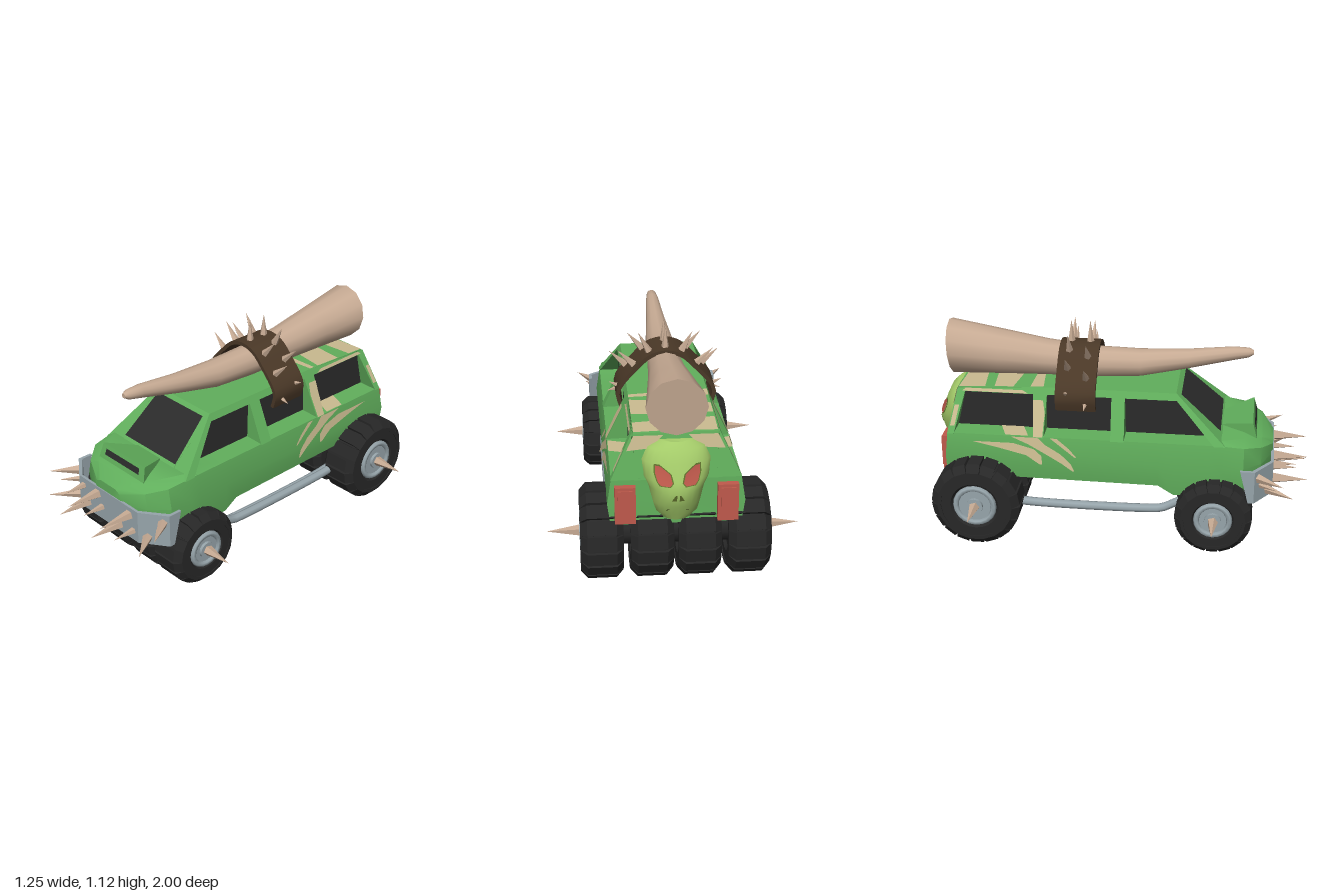
import * as THREE from 'three';
import { mergeGeometries, toCreasedNormals } from 'three/addons/utils/BufferGeometryUtils.js';

const V = (x, y, z) => new THREE.Vector3(x, y, z);

export function createModel() {
  const model = new THREE.Group();
  model.name = 'spikedWagon';
  const car = new THREE.Group();
  car.name = 'car';
  car.position.x = -0.013;
  model.add(car);

  const mat = (name, color, side = THREE.FrontSide) => {
    const m = new THREE.MeshStandardMaterial({ color, side });
    m.name = name;
    return m;
  };
  const green = mat('bodyGreen', 0x61af5c);
  const tan = mat('camouflageTan', 0xcabb90, THREE.DoubleSide);
  const glass = mat('darkGlass', 0x2b2b2b, THREE.DoubleSide);
  const rubber = mat('tyreBlack', 0x272727);
  const leather = mat('strapBrown', 0x4a3827);
  const bone = mat('bone', 0xc6aa93);
  const metal = mat('greyMetal', 0x97a5ab);
  const red = mat('lampRed', 0xc05a4c, THREE.DoubleSide);
  const skullGreen = mat('skullGreen', 0xa4cb69);
  const socket = mat('socketOlive', 0x64752f, THREE.DoubleSide);

  const add = (name, geo, material, parent = car) => {
    const m = new THREE.Mesh(geo, material);
    m.name = name;
    parent.add(m);
    return m;
  };
  const flat = (g) => toCreasedNormals(g, 0.1);

  // Capped skin over rings; the first ring runs anticlockwise seen from outside
  const loft = (rings, crease = 0.6) => {
    const n = rings[0].length, idx = [], last = (rings.length - 1) * n;
    for (let i = 0; i < rings.length - 1; i++) for (let j = 0; j < n; j++) {
      const a = i * n + j, b = i * n + (j + 1) % n;
      idx.push(a, a + n, b, b, a + n, b + n);
    }
    for (let j = 1; j < n - 1; j++) idx.push(0, j, j + 1, last, last + j + 1, last + j);
    const g = new THREE.BufferGeometry().setFromPoints(rings.flat());
    g.setIndex(idx);
    return toCreasedNormals(g, crease);
  };
  // Thin sheet over rows of point pairs
  const sheet = (name, pairs, material) => {
    const g = new THREE.BufferGeometry().setFromPoints(pairs.flat()), idx = [];
    for (let i = 0; i < pairs.length - 1; i++) idx.push(2 * i, 2 * i + 2, 2 * i + 1, 2 * i + 1, 2 * i + 2, 2 * i + 3);
    g.setIndex(idx);
    g.computeVertexNormals();
    return add(name, g, material);
  };
  const spike = (name, base, dir, r, len) => {
    const g = flat(new THREE.ConeGeometry(r, len, 5).translate(0, len / 2, 0));
    const m = add(name, g, bone);
    m.position.copy(base);
    m.quaternion.setFromUnitVectors(V(0, 1, 0), dir.clone().normalize());
  };

  // Lower body up to the window sills: z, bottom y, bottom x, middle x, belt x, belt y, top x, top y
  const body = [
    [0.81, 0.33, 0.07, 0.10, 0.09, 0.51, 0.06, 0.525],
    [0.75, 0.31, 0.20, 0.24, 0.22, 0.545, 0.15, 0.57],
    [0.66, 0.30, 0.29, 0.315, 0.295, 0.57, 0.22, 0.592],
    [0.54, 0.30, 0.315, 0.33, 0.31, 0.585, 0.28, 0.602],
    [0.48, 0.295, 0.315, 0.33, 0.31, 0.585, 0.2, 0.588],
    [0.30, 0.29, 0.315, 0.33, 0.31, 0.585, 0.2, 0.588],
    [0.22, 0.34, 0.315, 0.33, 0.31, 0.585, 0.2, 0.588],
    [-0.90, 0.35, 0.315, 0.33, 0.31, 0.585, 0.2, 0.588],
  ].map(([z, yb, xb, xm, xl, yl, xt, yt]) => {
    const zt = z < -0.8 ? z + 0.011 : z;
    return [V(-xb, yb, z), V(xb, yb, z), V(xm, 0.46, z), V(xl, yl, zt), V(xt, yt, zt), V(-xt, yt, zt), V(-xl, yl, zt), V(-xm, 0.46, z)];
  });
  add('body', loft(body, 0.5), green);
  add('underbody', new THREE.BoxGeometry(0.58, 0.02, 1.2).translate(0, 0.347, -0.27), rubber);

  // Cabin: narrow upright core with a sloping front and back
  const cabin = [[0.57, 0.30, 0.82], [-0.4, -0.4, 0.82], [-0.891, -0.845, 0.80]];
  add('cabin', loft(cabin.map(([zb, zt, yt]) =>
    [V(-0.2, 0.578, zb), V(0.2, 0.578, zb), V(0.2, yt, zt), V(-0.2, yt, zt)]), 0.1), green);

  // Pillars and roof rails: wedges that flare from the roof edge out to the belt
  const flare = (y) => 0.31 - (y - 0.585) * 0.468;
  const wedge = (name, y0, ...ends) => {
    for (const s of [-1, 1]) add(name, loft(ends.map(([zb, zt, top = 0.82]) => {
      const ring = [V(s * 0.19, y0, zb), V(s * flare(y0), y0, zb), V(s * flare(top), top, zt)];
      return s > 0 ? ring : ring.reverse();
    }), 0.1), green);
  };
  wedge('frontPillar', 0.58, [0.565, 0.302], [0.505, 0.27]);
  wedge('middlePillar', 0.58, [0.04, 0.035], [-0.03, -0.035]);
  wedge('thirdPillar', 0.58, [-0.38, -0.37], [-0.435, -0.445]);
  wedge('rearPillar', 0.58, [-0.855, -0.80, 0.803], [-0.891, -0.845, 0.80]);
  wedge('roofRail', 0.785, [0.32, 0.30], [-0.4, -0.4], [-0.843, -0.842, 0.80]);

  // Hood scoop
  const rect = (w0, w1, y0, y1, z0, z1) => [V(-w0, y0, z0), V(w0, y0, z0), V(w1, y1, z1), V(-w1, y1, z1)];
  add('hoodScoop', loft([rect(0.18, 0.165, 0.565, 0.655, 0.725, 0.70), rect(0.1, 0.09, 0.57, 0.608, 0.55, 0.54)], 0.1), green);
  sheet('scoopSlot', [[V(-0.135, 0.605, 0.718), V(0.135, 0.605, 0.718)], [V(-0.13, 0.637, 0.709), V(0.13, 0.637, 0.709)]], glass);

  // Windshield
  const shield = (x, y) => V(x, y + 0.004, 0.54 - (y - 0.605) * 1.116 + 0.005);
  sheet('windshield', [[shield(-0.2, 0.615), shield(0.2, 0.615)], [shield(-0.175, 0.802), shield(0.175, 0.802)]], glass);

  // Upright side glass and painted stripes, as rows of [y, z0, z1]
  const skin = (y) => (y > 0.585 ? flare(y) : 0.31 + (0.585 - y) * 0.16) + 0.004;
  const onSide = (name, rows, material, xAt = skin) => {
    for (const s of [-1, 1]) sheet(name, rows.map(([y, a, b]) =>
      [V(s * xAt(y), y, s > 0 ? a : b), V(s * xAt(y), y, s > 0 ? b : a)]), material);
  };
  const upright = () => 0.204;
  onSide('frontWindow', [[0.589, 0.515, 0.03], [0.8, 0.29, 0.03]], glass, upright);
  onSide('middleWindow', [[0.589, -0.02, -0.39], [0.8, -0.02, -0.39]], glass, upright);
  onSide('rearWindow', [[0.589, -0.43, -0.86], [0.8, -0.43, -0.815]], glass, upright);
  onSide('pillarStripe', [[0.585, -0.385, -0.433], [0.7, -0.378, -0.438], [0.76, -0.39, -0.442]], tan);
  onSide('railStripe', [[0.788, -0.47, -0.82], [0.803, -0.50, -0.80]], tan);
  onSide('cornerStripe', [[0.62, -0.852, -0.876], [0.72, -0.832, -0.856]], tan);
  onSide('upperStripe', [[0.485, -0.205, -0.215], [0.53, -0.245, -0.275], [0.582, -0.31, -0.345]], tan);
  onSide('longStripe', [[0.41, -0.215, -0.225], [0.45, -0.235, -0.285], [0.5, -0.29, -0.375], [0.545, -0.37, -0.46], [0.582, -0.41, -0.55]], tan);
  onSide('rearStripe', [[0.44, -0.385, -0.40], [0.485, -0.39, -0.47], [0.52, -0.43, -0.62], [0.548, -0.54, -0.76]], tan);

  // Roof, sill and tailgate stripes
  const roof = (x, z) => V(x, 0.824 - Math.max(0, -0.4 - z) * 0.044, z);
  for (const [a, b, skew] of [[-0.84, -0.72, 0.02], [-0.65, -0.52, -0.03], [-0.46, -0.41, 0.02]])
    sheet('roofStripe', [[roof(-0.2, a), roof(-0.2, b + skew)], [roof(0, a + skew / 2), roof(0, b)], [roof(0.2, a), roof(0.2, b - skew)]], tan);
  const tail = (x, y) => V(x, y, -0.850 - (0.8 - y) * 0.208);
  for (const s of [-1, 1]) {
    sheet('sillStripe', [[V(s * 0.206, 0.592, -0.5), V(s * 0.206, 0.592, -0.62)], [V(s * 0.308, 0.589, -0.46), V(s * 0.308, 0.589, -0.58)]], tan);
    sheet('tailgateStripe', [[tail(s * 0.06, 0.79), tail(s * 0.2, 0.79)], [tail(s * 0.12, 0.73), tail(s * 0.235, 0.72)]], tan);
  }

  // Tail lamps
  for (const s of [-1, 1]) {
    add('tailLamp', new THREE.BoxGeometry(0.1, 0.19, 0.04).translate(s * 0.245, 0.46, -0.905), red);
    add('tailLampLens', new THREE.BoxGeometry(0.07, 0.16, 0.02).translate(s * 0.245, 0.46, -0.922), red);
  }

  // Skull on the tailgate: y, half width, back z
  const skull = [[0.77, 0.08, -0.89], [0.74, 0.14, -0.92], [0.68, 0.17, -0.95], [0.6, 0.165, -0.98],
    [0.55, 0.14, -0.997], [0.47, 0.125, -0.972], [0.42, 0.115, -0.95], [0.385, 0.08, -0.935]];
  const arc = (w, z, t) => [w * Math.cos(t), -0.84 + (z + 0.84) * Math.sin(t)];
  add('skull', loft(skull.map(([y, w, z]) => Array.from({ length: 13 }, (_, i) => {
    const [x, pz] = arc(w, z, i / 12 * Math.PI);
    return V(x, y, pz);
  })), 0.7), skullGreen);
  const onSkull = (x, y, lift) => {
    const i = Math.max(1, skull.findIndex((r) => r[0] <= y)), a = skull[i - 1], b = skull[i];
    const t = (a[0] - y) / (a[0] - b[0]), w = a[1] + (b[1] - a[1]) * t, z = a[2] + (b[2] - a[2]) * t;
    return V(x, y, -0.84 + (z + 0.84) * Math.sqrt(Math.max(0, 1 - (x / w) ** 2)) - lift);
  };
  const face = (name, rows, material, lift) => sheet(name, rows.map(([y, a, b]) => [onSkull(a, y, lift), onSkull(b, y, lift)]), material);
  for (const s of [-1, 1]) {
    face('eyeSocket', [[0.68, s * 0.085, s * 0.11], [0.64, s * 0.03, s * 0.112], [0.6, s * 0.02, s * 0.1], [0.58, s * 0.035, s * 0.085]], socket, 0.004);
    face('eye', [[0.674, s * 0.082, s * 0.104], [0.64, s * 0.036, s * 0.106], [0.6, s * 0.026, s * 0.094], [0.585, s * 0.04, s * 0.08]], red, 0.007);
    face('nostril', [[0.545, s * 0.006, s * 0.012], [0.51, s * 0.006, s * 0.03]], socket, 0.005);
  }
  face('mouth', [[0.452, -0.05, 0.05], [0.442, -0.06, 0.06]], socket, 0.005);

  // Tusk on the roof: z, centre y, radius
  const tusk = [[0.685, 0.985, 0.012], [0.66, 0.983, 0.026], [0.58, 0.975, 0.036], [0.35, 0.935, 0.052], [0.1, 0.902, 0.073],
    [-0.15, 0.897, 0.083], [-0.4, 0.912, 0.096], [-0.65, 0.932, 0.12], [-0.91, 0.953, 0.146]];
  add('tusk', loft(tusk.map(([z, y, r]) => Array.from({ length: 12 }, (_, i) => {
    const t = i / 6 * Math.PI;
    return V(r * Math.cos(t), y + r * Math.sin(t), z - (z < -0.9 ? 0.013 * Math.sin(t) : 0));
  })), 0.8), bone);

  // Strap draped over the tusk, with two rows of spikes
  const arch = new THREE.CatmullRomCurve3([[-0.238, 0.71], [-0.256, 0.785], [-0.235, 0.835], [-0.165, 0.915], [-0.085, 0.988], [0, 1.01],
    [0.085, 0.988], [0.165, 0.915], [0.235, 0.835], [0.256, 0.785], [0.238, 0.71]].map(([x, y]) => V(x, y, 0)));
  const outward = (t) => { const d = arch.getTangentAt(t); return V(-d.y, d.x, 0); };
  const outer = [], inner = [];
  for (let i = 0; i <= 24; i++) {
    const p = arch.getPointAt(i / 24), n = outward(i / 24);
    outer.push(new THREE.Vector2(p.x, p.y));
    inner.unshift(new THREE.Vector2(p.x - n.x * 0.02, p.y - n.y * 0.02));
  }
  add('strap', toCreasedNormals(new THREE.ExtrudeGeometry(new THREE.Shape([...outer, ...inner]),
    { depth: 0.21, bevelEnabled: false }).translate(0, 0, -0.325), 0.6), leather);
  for (const [z, ts] of [[-0.17, [0.05, 0.22, 0.36, 0.5, 0.64, 0.78, 0.95]], [-0.27, [0.12, 0.28, 0.4, 0.5, 0.6, 0.72, 0.88]]])
    for (const t of ts) {
      const end = Math.abs(t - 0.5) > 0.35;
      spike('strapSpike', arch.getPointAt(t).setZ(z), outward(t), end ? 0.011 : 0.02, end ? 0.045 : 0.115);
    }

  // Ram bar: bent plate with slanted ends
  const bend = [[0.37, 0.645], [0.37, 0.72], [0.237, 0.815]];
  const bar = [...bend, ...bend.map(([x, z]) => [-x, z]).reverse()];
  const back = bar.map(([x, z]) => [x * 0.955, z - (z > 0.7 ? 0.014 : 0)]).reverse();
  const plate = new THREE.ExtrudeGeometry(new THREE.Shape([...bar, ...back].map(([x, z]) => new THREE.Vector2(x, -z))),
    { depth: 0.18, bevelEnabled: false }).rotateX(-Math.PI / 2).translate(0, 0.295, 0);
  const pp = plate.attributes.position;
  for (let i = 0; i < pp.count; i++)
    if (pp.getZ(i) < 0.68) pp.setZ(i, pp.getZ(i) + (0.475 - pp.getY(i)) * 0.25);
  add('ramBar', flat(plate), metal);
  for (const [x, y, big] of [[-0.2, 0.43, 0], [-0.085, 0.435, 1], [0.17, 0.43, 1], [-0.17, 0.345, 1], [-0.05, 0.37, 0], [0.09, 0.335, 1], [0.2, 0.35, 0]])
    spike('ramSpike', V(x, y, 0.813), V(0, 0, 1), big ? 0.028 : 0.019, big ? 0.185 : 0.125);
  for (const s of [-1, 1]) for (const [x, y, len] of [[0.34, 0.43, 0.16], [0.325, 0.385, 0.11], [0.275, 0.335, 0.17]])
    spike('ramCornerSpike', V(s * x, y, 0.813 - (x - 0.237) * 0.73), V(s * 0.59, 0, 0.81), len > 0.12 ? 0.026 : 0.017, len);

  // Twin side pipes
  for (const s of [-1, 1]) for (const [y, x] of [[0.193, 0.3], [0.173, 0.262]]) {
    const path = new THREE.CatmullRomCurve3([V(s * x, y + 0.07, 0.36), V(s * x, y + 0.05, 0.32), V(s * x, y + 0.008, 0.24),
      V(s * x, y, 0.16), V(s * x, y, -0.45), V(s * x, y + 0.01, -0.56)]);
    add('sidePipe', new THREE.TubeGeometry(path, 24, 0.023, 8), metal);
  }

  // Tyre with chamfered lugs, axle along x
  const tyreGeometry = (R, h) => {
    const prof = [[0, -0.8], [0.5, -0.8], [0.55, -0.95], [0.78, -0.95], [0.95, -0.66], [0.95, 0.66], [0.78, 0.95], [0.55, 0.95], [0.5, 0.8], [0, 0.8]];
    const core = new THREE.LatheGeometry(prof.map(([r, a]) => new THREE.Vector2(r * R, a * h)), 24).rotateZ(-Math.PI / 2);
    const lug = new THREE.Shape([[-1, 0.76], [1, 0.76], [1, 0.84], [0.68, 1], [-0.68, 1], [-1, 0.84]].map(([a, r]) => new THREE.Vector2(a * h, r * R)));
    const parts = [toCreasedNormals(core, 0.5)], width = R * 0.29;
    for (let i = 0; i < 18; i++)
      parts.push(new THREE.ExtrudeGeometry(lug, { depth: width, bevelEnabled: false }).translate(0, 0, -width / 2).rotateX(i * Math.PI / 9));
    return mergeGeometries(parts);
  };
  for (const [label, R, z, xs, tip, axleR] of [['front', 0.2, 0.515, [0.115, 0.312], 0.573, 0.05], ['rear', 0.233, -0.73, [0.115, 0.357], 0.625, 0.075]]) {
    const tyre = tyreGeometry(R, 0.104);
    const edge = xs[1] + 0.082;
    add(label + 'Axle', new THREE.CylinderGeometry(axleR, axleR, 0.6, 12).rotateZ(Math.PI / 2).translate(0, R, z), rubber);
    for (const s of [-1, 1]) {
      for (const x of xs) add(label + 'Tyre', tyre, rubber).position.set(s * x, R, z);
      add(label + 'HubDisc', new THREE.CylinderGeometry(0.09, 0.09, 0.02, 16).rotateZ(Math.PI / 2).translate(s * edge, R, z), metal);
      add(label + 'HubRing', new THREE.TorusGeometry(R * 0.43, 0.016, 6, 20).rotateY(Math.PI / 2).translate(s * (edge + 0.008), R, z), metal);
      add(label + 'HubCap', new THREE.CylinderGeometry(0.045, 0.045, 0.03, 12).rotateZ(Math.PI / 2).translate(s * (edge + 0.01), R, z), metal);
      spike(label + 'HubSpike', V(s * edge, R, z), V(s, 0, 0), 0.033, tip - edge);
    }
  }
  return model;
}
